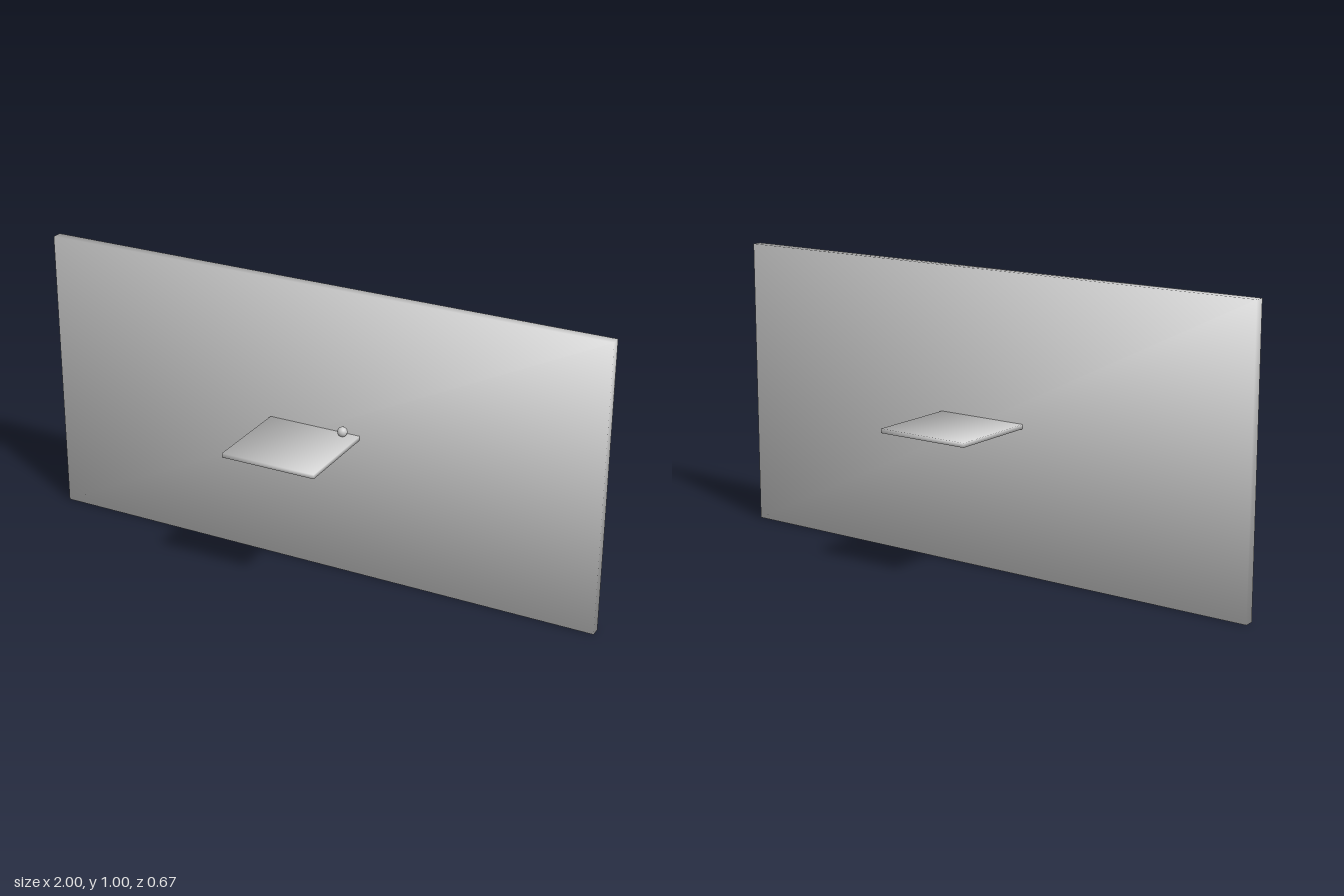
import * as THREE from 'three';

const material = new THREE.MeshStandardMaterial({ color: 0xcccccc });

function addMesh(group, name, geometry, x, y, z) {
  const mesh = new THREE.Mesh(geometry, material);
  mesh.name = name;
  mesh.position.set(x, y, z);
  group.add(mesh);
}

// Box whose normals point out along the corners, so it shades softly across its edges
function softBox(width, height, depth) {
  const geometry = new THREE.BoxGeometry(width, height, depth);
  const { position, normal } = geometry.attributes;
  const corner = new THREE.Vector3();
  for (let i = 0; i < position.count; i++) {
    corner.fromBufferAttribute(position, i);
    corner.set(Math.sign(corner.x), Math.sign(corner.y), Math.sign(corner.z)).normalize();
    normal.setXYZ(i, corner.x, corner.y, corner.z);
  }
  return geometry;
}

export function createModel() {
  const group = new THREE.Group();
  group.name = 'panelWithPlate';

  // Upright panel and the flat plate passing through it
  addMesh(group, 'panel', softBox(2, 1, 0.034), 0, 0.5, 0);
  addMesh(group, 'plate', softBox(0.33, 0.015, 0.667), 0, 0.502, 0);

  // Small balls above and below the plate, on the front of the panel
  const ball = new THREE.SphereGeometry(0.0165, 32, 20);
  addMesh(group, 'upperBall', ball, 0.114, 0.524, 0.04);
  addMesh(group, 'lowerBall', ball, 0.114, 0.463, 0.024);

  return group;
}
